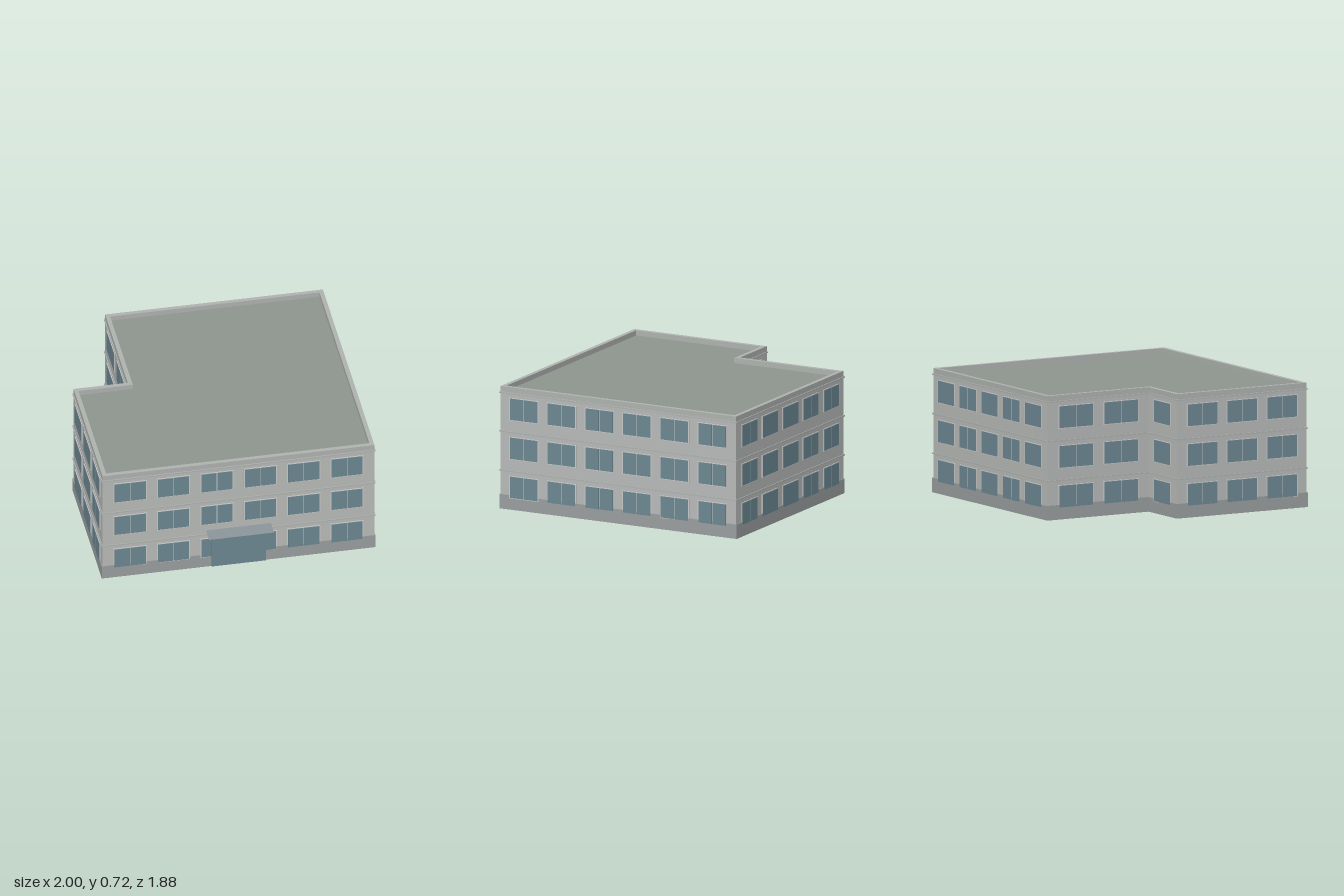
import * as THREE from 'three';

const ROOF_Y = 0.69, TOP_Y = 0.72;

// Footprint corners [along front, back], counter-clockwise from the front left of the plan
const PLAN = [[-1.587, 0], [0, 0], [0, 1.542], [-1.271, 1.542], [-1.271, 0.866], [-1.587, 0.866]]
  .map(([x, y]) => new THREE.Vector2(x, y));

// Window count and window width for each wall, in footprint order
const WINDOWS = [[6, 0.185], [6, 0.183], [5, 0.18], [2, 0.226], [1, 0.18], [3, 0.2]];
const FLOORS = [0.07, 0.3, 0.53];
const WINDOW_H = 0.125;

const mat = (color, side = THREE.FrontSide) => new THREE.MeshStandardMaterial({ color, side });

export function createModel() {
  const wallMat = mat(0xb8bcb9, THREE.DoubleSide);
  const trimMat = mat(0xb0b4b1);
  const plinthMat = mat(0x9a9f9f);
  const frameMat = mat(0xc4c8c4);
  const glassMat = mat(0x6d8893);
  const roofMat = mat(0x8f958f, THREE.DoubleSide);
  const canopyMat = mat(0x8d979c, THREE.DoubleSide);

  const building = new THREE.Group();
  building.name = 'building';

  const add = (parent, name, geometry, material, x = 0, y = 0, z = 0) => {
    const mesh = new THREE.Mesh(geometry, material);
    mesh.name = name;
    mesh.position.set(x, y, z);
    parent.add(mesh);
    return mesh;
  };

  // Footprint moved outward by d (all corners are square)
  const offset = (d) => PLAN.map((p, i) => {
    const prev = PLAN[(i + PLAN.length - 1) % PLAN.length];
    const next = PLAN[(i + 1) % PLAN.length];
    const a = p.clone().sub(prev).normalize();
    const b = next.clone().sub(p).normalize();
    return new THREE.Vector2(p.x + d * (a.y + b.y), p.y - d * (a.x + b.x));
  });

  // Closed strip running round the building between two offsets
  const ring = (name, outer, inner, y0, y1, material) => {
    const shape = new THREE.Shape(offset(outer));
    shape.holes.push(new THREE.Path(offset(inner)));
    const geometry = new THREE.ExtrudeGeometry(shape, { depth: y1 - y0, bevelEnabled: false });
    geometry.rotateX(-Math.PI / 2);
    add(building, name, geometry, material, 0, y0, 0);
  };

  ring('plinth', 0.005, 0.001, 0, 0.085, plinthMat);
  [0.226, 0.456, 0.684].forEach((y) => ring('floorBand', 0.006, 0.001, y - 0.004, y + 0.004, trimMat));
  ring('parapet', 0, -0.025, ROOF_Y, TOP_Y, trimMat);

  const roof = new THREE.ShapeGeometry(new THREE.Shape(PLAN));
  roof.rotateX(-Math.PI / 2);
  add(building, 'roof', roof, roofMat, 0, ROOF_Y, 0);

  // Two-pane window with its frame
  const addWindow = (wall, x, y, w) => {
    const win = new THREE.Group();
    win.name = 'window';
    win.position.set(x, y + WINDOW_H / 2, 0);
    add(win, 'frame', new THREE.BoxGeometry(w + 0.008, WINDOW_H + 0.008, 0.004), frameMat, 0, 0, 0.003);
    const paneW = w / 2 - 0.004;
    for (const s of [-1, 1]) {
      add(win, 'pane', new THREE.BoxGeometry(paneW, WINDOW_H, 0.006), glassMat, s * w / 4, 0, 0.004);
    }
    wall.add(win);
  };

  // Walls: local x runs along the wall, local z points outward
  PLAN.forEach((p, i) => {
    const q = PLAN[(i + 1) % PLAN.length];
    const length = p.distanceTo(q);
    const wall = new THREE.Group();
    wall.name = i === 0 ? 'frontWall' : 'wall';
    wall.position.set((p.x + q.x) / 2, 0, -(p.y + q.y) / 2);
    wall.rotation.y = Math.atan2(q.y - p.y, q.x - p.x);
    add(wall, 'wallSheet', new THREE.PlaneGeometry(length, ROOF_Y), wallMat, 0, ROOF_Y / 2, 0);

    const [count, w] = WINDOWS[i];
    const gap = (length - count * w) / (count + 1);
    for (const y of FLOORS) {
      for (let k = 0; k < count; k++) {
        addWindow(wall, -length / 2 + gap + w / 2 + k * (w + gap), y, w);
      }
    }

    // Entrance in the middle of the front
    if (i === 0) {
      add(wall, 'entrance', new THREE.BoxGeometry(0.316, 0.25, 0.01), glassMat, 0, 0.125, 0.006);
      const canopy = new THREE.PlaneGeometry(0.378, 0.094);
      canopy.rotateX(-Math.PI / 2);
      add(wall, 'canopy', canopy, canopyMat, 0, 0.252, 0.047);
    }
    building.add(wall);
  });

  // The whole building stands turned on its plot
  building.rotation.y = -0.317;
  building.position.set(0.511, 0, 0.93);

  const model = new THREE.Group();
  model.name = 'officeBuilding';
  model.add(building);
  return model;
}
